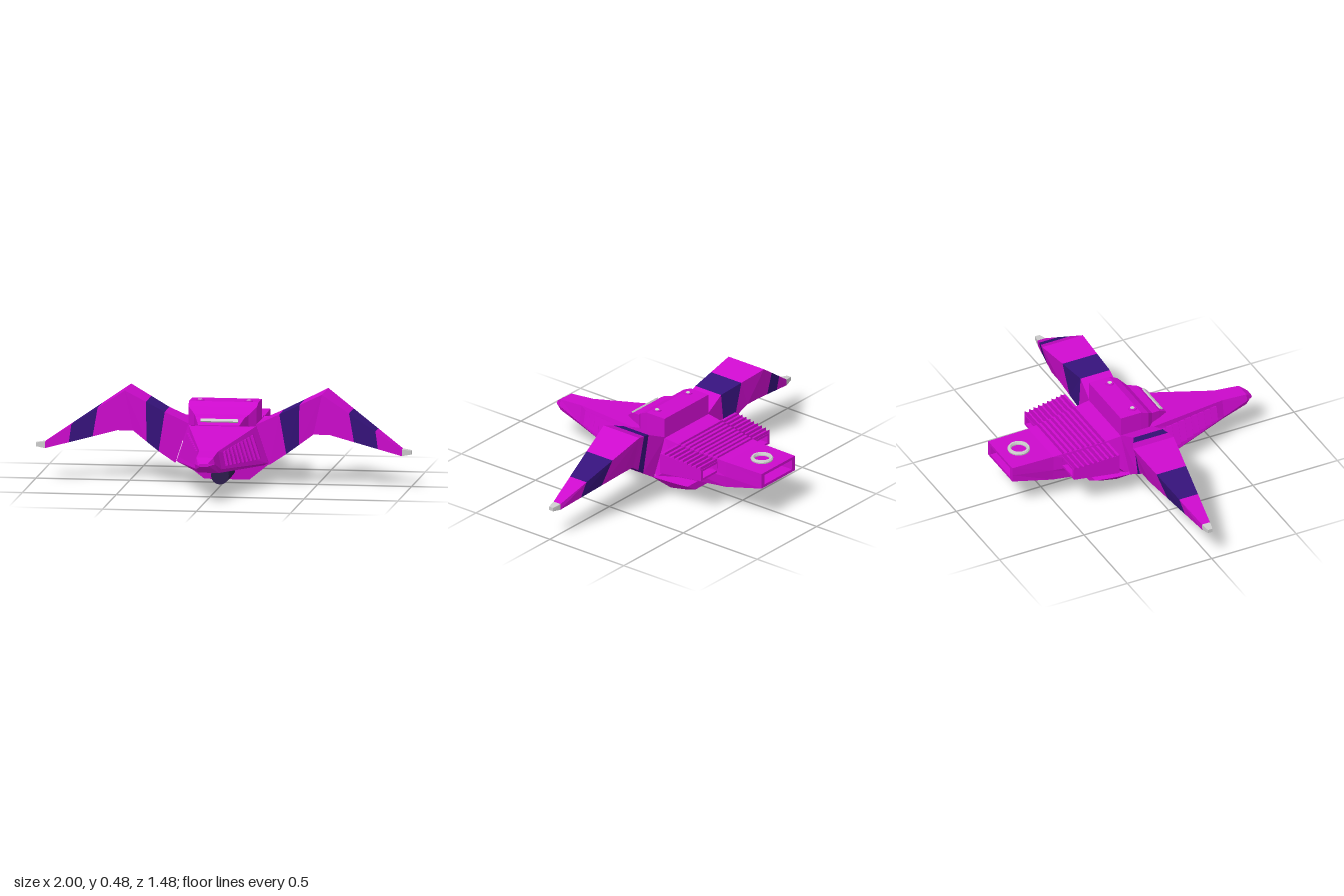
import * as THREE from 'three';

const mat = (color, side = THREE.FrontSide) =>
  new THREE.MeshStandardMaterial({ color, flatShading: true, side });
const BODY = mat(0xcc0acc);
const STRIPE = mat(0x35127a);
const GUN = mat(0x2c1c4c);
const GREY = mat(0xcccccc);

// Faceted skin over a list of rings of [x, y, z] points, faces turned outward
function loft(rings, caps = true) {
  const tris = [];
  const n = rings[0].length;
  for (let r = 0; r < rings.length - 1; r++) {
    for (let i = 0; i < n; i++) {
      const j = (i + 1) % n;
      const a = rings[r][i], b = rings[r][j], c = rings[r + 1][j], d = rings[r + 1][i];
      tris.push([a, b, c], [a, c, d]);
    }
  }
  if (caps) {
    const s = rings[0], e = rings[rings.length - 1];
    for (let i = 1; i < n - 1; i++) tris.push([s[0], s[i + 1], s[i]], [e[0], e[i], e[i + 1]]);
  }
  const mid = new THREE.Vector3();
  rings.flat().forEach((p) => mid.add(new THREE.Vector3(...p)));
  mid.divideScalar(n * rings.length);
  let volume = 0;
  for (const t of tris) {
    const [a, b, c] = t.map((p) => new THREE.Vector3(...p).sub(mid));
    volume += a.dot(b.cross(c));
  }
  if (volume < 0) tris.forEach((t) => t.reverse());
  const geo = new THREE.BufferGeometry();
  geo.setAttribute('position', new THREE.Float32BufferAttribute(tris.flat(2), 3));
  geo.computeVertexNormals();
  return geo;
}

const mix = (a, b, t) => a + (b - a) * t;
const mixRing = (p, q, t) => p.map((v, i) => v.map((c, k) => mix(c, q[i][k], t)));
const rect = (x0, x1, y0, y1, z) => [[x0, y0, z], [x1, y0, z], [x1, y1, z], [x0, y1, z]];

export function createModel() {
  const model = new THREE.Group();
  const add = (name, geo, material, parent = model) => {
    const m = new THREE.Mesh(geo, material);
    m.name = name;
    parent.add(m);
    return m;
  };

  // Hull: z, top half width, top y, side half width, side y, bottom half width, bottom y
  const section = ([z, wt, yt, wm, ym, wb, yb]) => [
    [wt, yt, z], [wm, ym, z], [wb, yb, z], [-wb, yb, z], [-wm, ym, z], [-wt, yt, z]];
  const hull = [
    [0.735, 0.02, 0.215, 0.03, 0.205, 0.02, 0.2],
    [0.695, 0.045, 0.243, 0.054, 0.208, 0.045, 0.182],
    [0.55, 0.05, 0.255, 0.068, 0.16, 0.055, 0.14],
    [0.05, 0.18, 0.315, 0.245, 0.12, 0.22, 0.107],
    [-0.12, 0.185, 0.322, 0.235, 0.12, 0.2, 0.105],
    [-0.2, 0.18, 0.312, 0.2, 0.2, 0.17, 0.113],
    [-0.5, 0.145, 0.285, 0.147, 0.2, 0.138, 0.135],
    [-0.74, 0.14, 0.285, 0.14, 0.24, 0.14, 0.2],
    // exhaust recess
    [-0.74, 0.115, 0.27, 0.115, 0.24, 0.115, 0.215],
    [-0.67, 0.115, 0.27, 0.115, 0.24, 0.115, 0.215],
  ];
  add('hull', loft(hull.map(section)), BODY);

  // Canopy with sloping brow
  const canopy = [
    [-0.12, 0.185, 0.3, 0.435], [0.0, 0.185, 0.3, 0.435], [0.045, 0.182, 0.31, 0.415],
    [0.085, 0.145, 0.32, 0.38], [0.135, 0.13, 0.325, 0.37], [0.185, 0.11, 0.332, 0.337],
  ];
  add('canopy', loft(canopy.map(([z, w, y0, y1]) => rect(-w, w, y0, y1, z))), BODY);
  const slit = add('visorSlit', new THREE.BoxGeometry(0.2, 0.012, 0.02), GREY);
  slit.position.set(0, 0.356, 0.16);
  slit.rotation.x = 0.6;

  // Rear deck slats, each a small wedge rising toward the back
  const slats = (name, xAt, yAt, parent) => {
    for (let i = 0; i < 9; i++) {
      const z0 = -0.2 - i * 0.028, z1 = z0 - 0.024;
      const [a0, b0] = xAt(i / 9);
      const y = yAt(i / 9);
      add(name, loft([a0, b0].map((x) => [[x, y - 0.008, z0], [x, y + 0.008, z1], [x, y - 0.01, z1]])), BODY, parent);
    }
  };
  slats('deckSlat', (t) => [-mix(0.175, 0.145, t), mix(0.175, 0.145, t)], (t) => mix(0.314, 0.29, t));

  // Tail ring
  const ring = [[0.04, 0], [0.058, 0], [0.06, 0.01], [0.055, 0.018], [0.045, 0.018], [0.04, 0.008], [0.04, 0]];
  add('tailRing', new THREE.LatheGeometry(ring.map(([x, y]) => new THREE.Vector2(x, y)), 24),
    mat(0xcccccc, THREE.DoubleSide)).position.set(0, 0.283, -0.63);

  // Belly gun and keel wedge
  const gun = add('bellyGun', new THREE.CylinderGeometry(0.048, 0.048, 0.355, 16), GUN);
  gun.rotation.x = Math.PI / 2;
  gun.position.set(0, 0.062, -0.037);
  const keel = (z0, wt, yt, z1, wb, yb) => [[-wt, yt, z0], [wt, yt, z0], [wb, yb, z1], [-wb, yb, z1]];
  add('keelWedge', loft([
    keel(-0.09, 0.25, 0.11, -0.11, 0.12, 0.004),
    keel(-0.21, 0.21, 0.092, -0.21, 0.12, 0.024),
    keel(-0.27, 0.18, 0.08, -0.27, 0.11, 0.038),
  ]), BODY);

  // Wing rings: top front, top rear, bottom rear, bottom front
  const wingRing = (xt, yt, xb, yb, f, r, rb, fb) => [[xt, yt, f], [xt, yt, r], [xb, yb, rb], [xb, yb, fb]];
  const root = wingRing(0.18, 0.325, 0.25, 0.11, 0.065, -0.12, -0.1, 0.05);
  const inner = wingRing(0.305, 0.383, 0.34, 0.17, 0.065, -0.108, -0.1, 0.05);
  const elbowIn = wingRing(0.525, 0.485, 0.48, 0.272, 0.018, -0.222, -0.145, 0.018);
  const elbowOut = wingRing(0.525, 0.485, 0.565, 0.272, 0.018, -0.222, -0.145, 0.018);
  const end = wingRing(0.95, 0.202, 0.95, 0.167, 0.015, -0.032, -0.03, 0.015);
  const tip = wingRing(1, 0.195, 1, 0.175, 0.005, -0.022, -0.022, 0.005);
  const stripeEnd = mixRing(inner, elbowIn, 0.47);
  const outA = mixRing(elbowOut, end, 0.34), outB = mixRing(elbowOut, end, 0.67);
  const wingParts = [
    ['wingRoot', BODY, root, inner], ['innerStripe', STRIPE, inner, stripeEnd],
    ['wingElbow', BODY, stripeEnd, elbowIn, elbowOut, outA],
    ['outerStripe', STRIPE, outA, outB], ['wingEnd', BODY, outB, end],
  ];

  for (const s of [1, -1]) {
    const side = s > 0 ? 'left' : 'right';
    const flip = (ringPts) => ringPts.map(([x, y, z]) => [s * x, y, z]);

    const wing = new THREE.Group();
    wing.name = side + 'Wing';
    model.add(wing);
    for (const [name, material, ...rings] of wingParts) add(name, loft(rings.map(flip), false), material, wing);
    add('wingTip', loft([end, tip].map(flip)), GREY, wing);

    // Side exhaust pod, hollow at the back
    const pod = new THREE.Group();
    pod.name = side + 'ExhaustPod';
    model.add(pod);
    add('podShell', loft([
      rect(0.14, 0.315, 0.19, 0.305, -0.195), rect(0.12, 0.287, 0.21, 0.275, -0.45),
      rect(0.155, 0.272, 0.222, 0.263, -0.45), rect(0.155, 0.272, 0.222, 0.263, -0.39),
    ].map(flip)), BODY, pod);
    slats('podSlat', (t) => [s * 0.14, s * mix(0.31, 0.288, t)], (t) => mix(0.307, 0.28, t), pod);

    // Nose vent slats following the slanted hull side
    const vents = new THREE.Group();
    vents.name = side + 'NoseVents';
    model.add(vents);
    const onHull = (z, v, out) => {
      const t = (0.55 - z) / 0.5;
      return [s * (mix(mix(0.068, 0.05, v), mix(0.245, 0.18, v), t) + out),
        mix(mix(0.16, 0.255, v), mix(0.12, 0.315, v), t) + out * 0.25, z];
    };
    for (let i = 0; i < 9; i++) {
      const z0 = 0.5 - i * 0.044, z1 = z0 - 0.036;
      add('ventSlat', loft([0.14, 0.85].map((v) =>
        [onHull(z0, v, -0.004), onHull(z0, v, 0.014), onHull(z1, v, 0.001), onHull(z1, v, -0.004)])), BODY, vents);
    }

    // Canopy bolt
    const bolt = new THREE.Group();
    bolt.name = side + 'CanopyBolt';
    bolt.position.set(s * 0.13, 0.436, -0.025);
    model.add(bolt);
    add('boltRim', new THREE.CylinderGeometry(0.022, 0.024, 0.008, 12), BODY, bolt);
    add('boltCore', new THREE.CylinderGeometry(0.012, 0.012, 0.012, 12), GREY, bolt);
  }
  return model;
}
